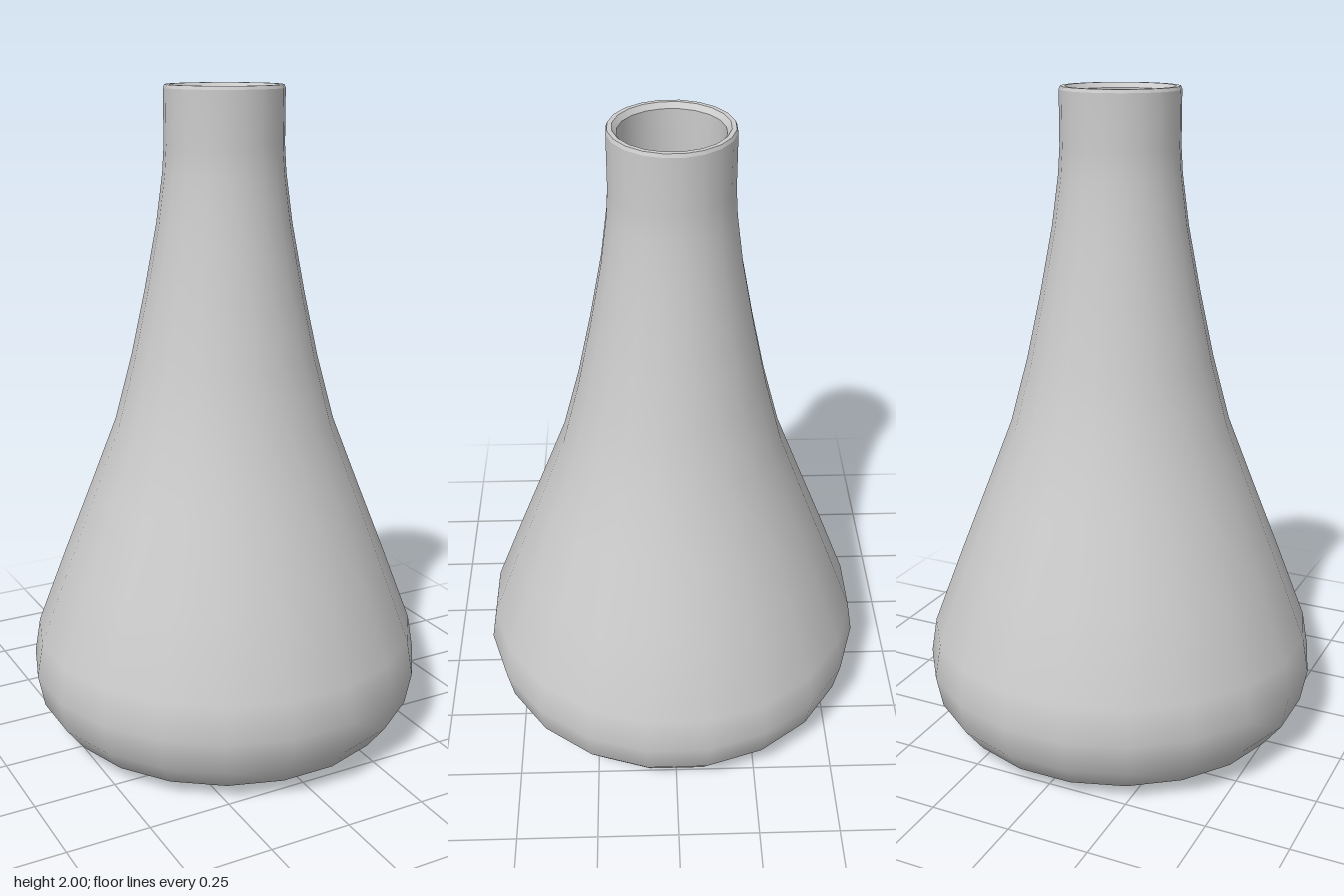
import * as THREE from 'three';

const SIDES = 20;

// Outer wall from the base edge up to the neck: [radius, height]
const WALL = [
  [0.44, 0], [0.535, 0.045], [0.592, 0.12], [0.612, 0.22], [0.594, 0.33],
  [0.503, 0.57], [0.413, 0.8], [0.336, 1.0], [0.283, 1.2], [0.24, 1.4],
  [0.202, 1.6], [0.182, 1.75], [0.177, 1.83], [0.177, 1.99],
];

export function createModel() {
  const group = new THREE.Group();
  const material = new THREE.MeshStandardMaterial({ color: 0xcccccc });

  // Turned surface with a flat side facing each axis
  const turn = (name, profile) => {
    const points = profile.map(([r, y]) => new THREE.Vector2(r, y));
    const geometry = new THREE.LatheGeometry(points, SIDES, Math.PI / SIDES);
    const mesh = new THREE.Mesh(geometry, material);
    mesh.name = name;
    group.add(mesh);
  };

  // Flat base blending into the rounded body and narrow neck
  turn('outerWall', [[0, 0], ...WALL]);

  // Narrow lip, bevelled towards the inside
  turn('rimEdge', [[0.177, 1.99], [0.173, 2]]);
  turn('rimTop', [[0.173, 2], [0.16, 2]]);
  turn('rimBevel', [[0.16, 2], [0.148, 1.985]]);

  // Hollow inside follows the outer wall at a constant thickness
  const inside = WALL.slice(1, -1).reverse().map(([r, y]) => [r - 0.029, Math.max(y, 0.06)]);
  turn('innerWall', [[0.148, 1.985], ...inside]);
  turn('innerFloor', [[0.506, 0.06], [0, 0.06]]);

  return group;
}
